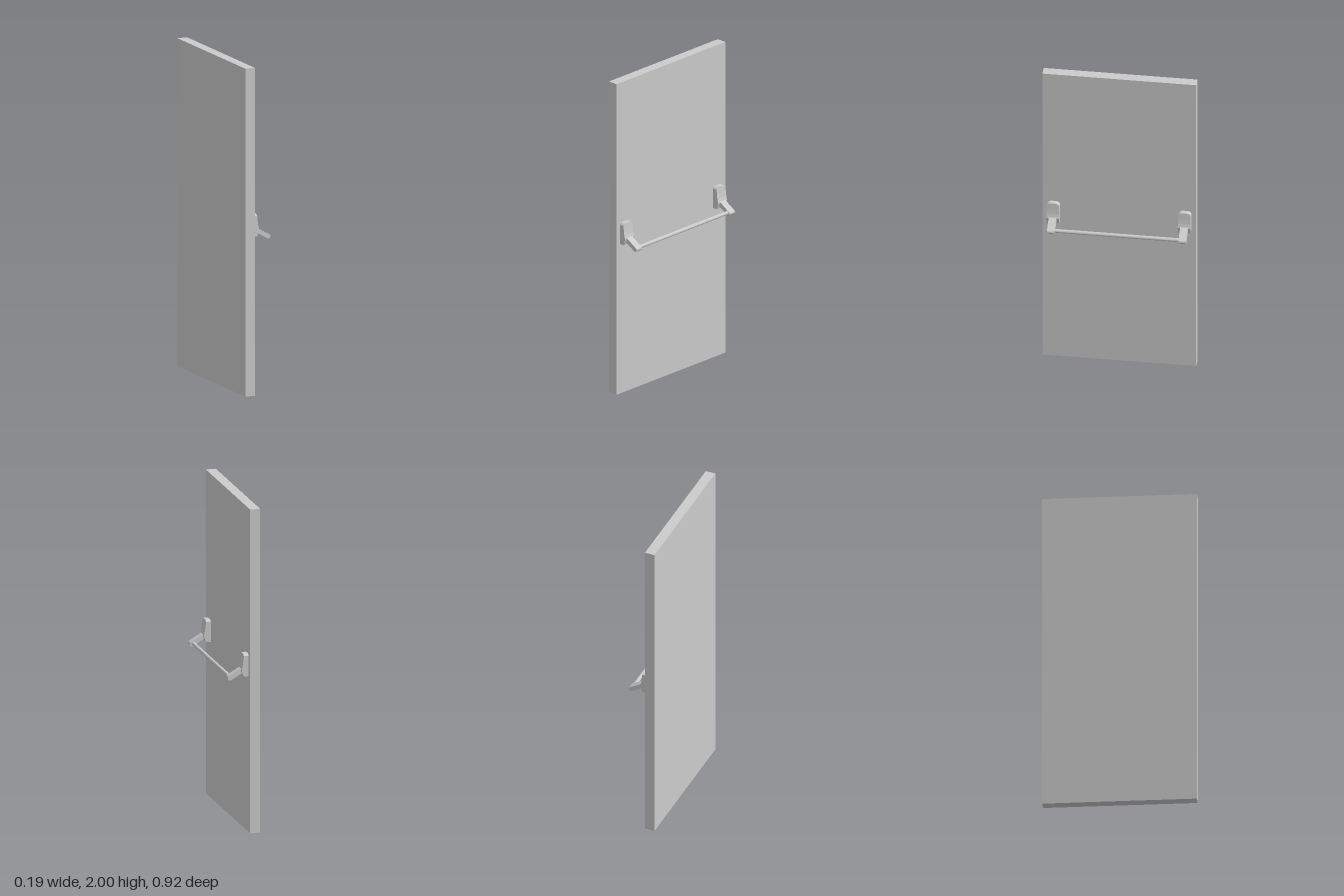
import * as THREE from 'three';

const material = new THREE.MeshStandardMaterial({ color: 0xcccccc });

function addMesh(parent, name, geometry) {
  const mesh = new THREE.Mesh(geometry, material);
  mesh.name = name;
  parent.add(mesh);
  return mesh;
}

// Side profile extruded along z and centred on it
function extrudeCentred(shape, width, steps = 1) {
  const geometry = new THREE.ExtrudeGeometry(shape, { depth: width, steps, bevelEnabled: false, curveSegments: 8 });
  return geometry.translate(0, 0, -width / 2);
}

// Wall housing: tapered wedge with a gently arched top
function housingGeometry() {
  const width = 0.076;
  const profile = [
    [-0.034, 0.963], [-0.003, 0.963], [0.006, 0.985], [0.011, 1.003],
    [0.004, 1.03], [0, 1.06], [-0.003, 1.1], [-0.034, 1.1],
  ].map(([x, y]) => new THREE.Vector2(x, y));
  const geometry = extrudeCentred(new THREE.Shape(profile), width, 8);
  const position = geometry.attributes.position;
  for (let i = 0; i < position.count; i++) {
    if (position.getY(i) < 1.09) continue;
    const t = position.getZ(i) / (width / 2);
    position.setY(i, position.getY(i) - 0.012 * t ** 4);
  }
  geometry.computeVertexNormals();
  return geometry;
}

// Lever arm: round-ended bar sloping down and away from the housing
function armGeometry() {
  const start = new THREE.Vector2(-0.002, 1.0);
  const end = new THREE.Vector2(0.078, 0.953);
  const radius = 0.0135;
  const length = start.distanceTo(end);
  const shape = new THREE.Shape();
  shape.absarc(length, 0, radius, -Math.PI / 2, Math.PI / 2, false);
  shape.absarc(0, 0, radius, Math.PI / 2, Math.PI * 1.5, false);
  return extrudeCentred(shape, 0.046)
    .rotateZ(Math.atan2(end.y - start.y, end.x - start.x))
    .translate(start.x, start.y, 0);
}

export function createModel() {
  const model = new THREE.Group();
  model.name = 'panicBarDoor';

  // Door leaf
  addMesh(model, 'doorLeaf', new THREE.BoxGeometry(0.062, 2, 0.924)).position.set(-0.064, 1, 0);

  // Housing and arm at each end of the bar
  for (const [side, sign] of [['left', 1], ['right', -1]]) {
    const bracket = new THREE.Group();
    bracket.name = `${side}Bracket`;
    bracket.position.z = sign * 0.395;
    addMesh(bracket, 'housing', housingGeometry());
    addMesh(bracket, 'arm', armGeometry());
    model.add(bracket);
  }

  // Push bar
  const bar = addMesh(model, 'pushBar', new THREE.CylinderGeometry(0.0115, 0.0115, 0.75, 20));
  bar.rotation.x = Math.PI / 2;
  bar.position.set(0.0715, 0.957, 0);

  return model;
}
